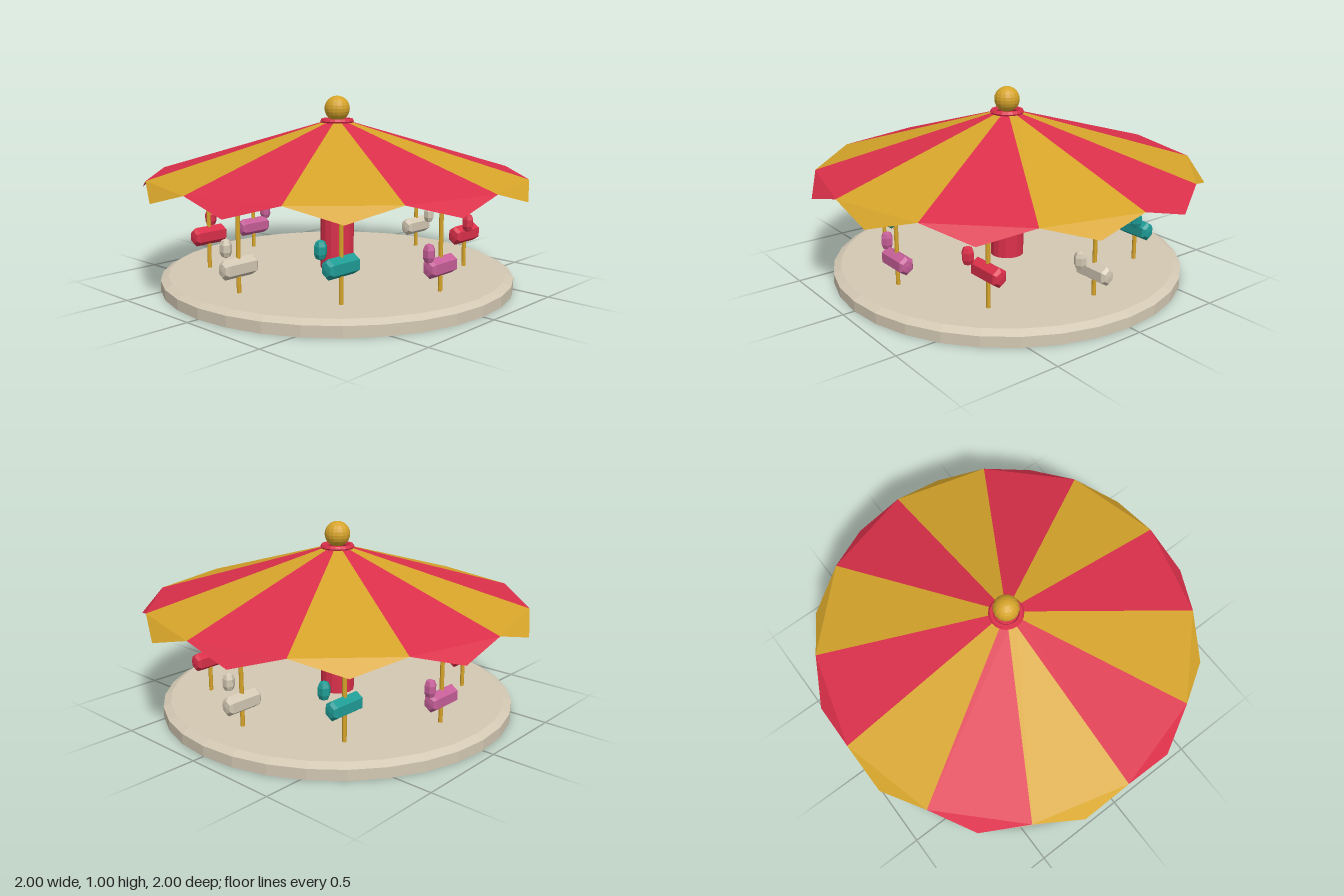
import * as THREE from 'three';

const mat = (name, color, side = THREE.FrontSide) => {
  const m = new THREE.MeshStandardMaterial({ color, side });
  m.name = name;
  return m;
};

// faceted copy of a geometry
const facet = (geo) => {
  const g = geo.index ? geo.toNonIndexed() : geo;
  g.computeVertexNormals();
  return g;
};

const lathe = (points, sides) =>
  facet(new THREE.LatheGeometry(points.map(([r, y]) => new THREE.Vector2(r, y)), sides));

export function createModel() {
  const model = new THREE.Group();
  model.name = 'carousel';

  const red = mat('red', 0xdb304a);
  const gold = mat('gold', 0xd6a42a);
  const cream = mat('cream', 0xd3c8b3);
  const teal = mat('teal', 0x1f9c96);
  const pink = mat('pink', 0xc65f98);
  const canopyRed = mat('canopy red', 0xdb304a, THREE.DoubleSide);
  const canopyGold = mat('canopy gold', 0xd6a42a, THREE.DoubleSide);

  const add = (parent, name, geo, material, x = 0, y = 0, z = 0) => {
    const mesh = new THREE.Mesh(geo, material);
    mesh.name = name;
    mesh.position.set(x, y, z);
    parent.add(mesh);
    return mesh;
  };

  // round platform with a bevelled rim
  add(model, 'platform', lathe([[0, 0], [0.94, 0], [0.94, 0.055], [0.9, 0.075], [0, 0.075]], 32), cream);

  // centre column, collar and finial ball
  add(model, 'column', facet(new THREE.CylinderGeometry(0.09, 0.09, 0.785, 16)), red, 0, 0.4625, 0);
  const collar = add(model, 'collar', facet(new THREE.TorusGeometry(0.075, 0.015, 6, 20)), red, 0, 0.867, 0);
  collar.rotation.x = Math.PI / 2;
  add(model, 'finial', facet(new THREE.SphereGeometry(0.067, 16, 12)), gold, 0, 0.933, 0);

  // striped canopy: twelve flat panels, each with a pointed flap
  const canopy = new THREE.Group();
  canopy.name = 'canopy';
  model.add(canopy);
  const polar = (r, a, y) => [r * Math.cos(a), y, r * Math.sin(a)];
  const step = Math.PI / 6;
  for (let i = 0; i < 12; i++) {
    const a = i * step, b = a + step;
    const in0 = polar(0.085, a, 0.86), in1 = polar(0.085, b, 0.86);
    const out0 = polar(1, a, 0.588), out1 = polar(1, b, 0.588);
    const tip = polar(1.035, a + step / 2, 0.518);
    const corners = [in0, out1, out0, in0, in1, out1, out0, out1, tip].flat();
    const geo = new THREE.BufferGeometry();
    geo.setAttribute('position', new THREE.Float32BufferAttribute(corners, 3));
    geo.computeVertexNormals();
    add(canopy, 'canopyPanel', geo, i % 2 ? canopyGold : canopyRed);
  }

  // eight mounts on poles, alternately low and high
  const poleGeo = facet(new THREE.CylinderGeometry(0.011, 0.011, 0.54, 8));
  const bodyGeo = lathe([[0, -0.104], [0.034, -0.1], [0.05, -0.085], [0.05, 0.085], [0.034, 0.1], [0, 0.104]], 6);
  bodyGeo.rotateX(Math.PI / 2);
  bodyGeo.scale(0.87, 1, 1);
  const headGeo = facet(new THREE.CapsuleGeometry(0.031, 0.036, 2, 6));
  const colours = [pink, teal, cream, red];
  for (let i = 0; i < 8; i++) {
    const a = i * Math.PI / 4;
    const mount = new THREE.Group();
    mount.name = 'mount';
    mount.position.set(0.69 * Math.cos(a), 0, 0.69 * Math.sin(a));
    model.add(mount);
    const y = i % 2 ? 0.255 : 0.202;
    const colour = colours[i % 4];
    add(mount, 'pole', poleGeo, gold, 0, 0.34, 0);
    add(mount, 'mountBody', bodyGeo, colour, 0, y, 0);
    add(mount, 'mountHead', headGeo, colour, -0.095 * Math.sin(a), y + 0.078, 0.095 * Math.cos(a));
  }

  return model;
}
